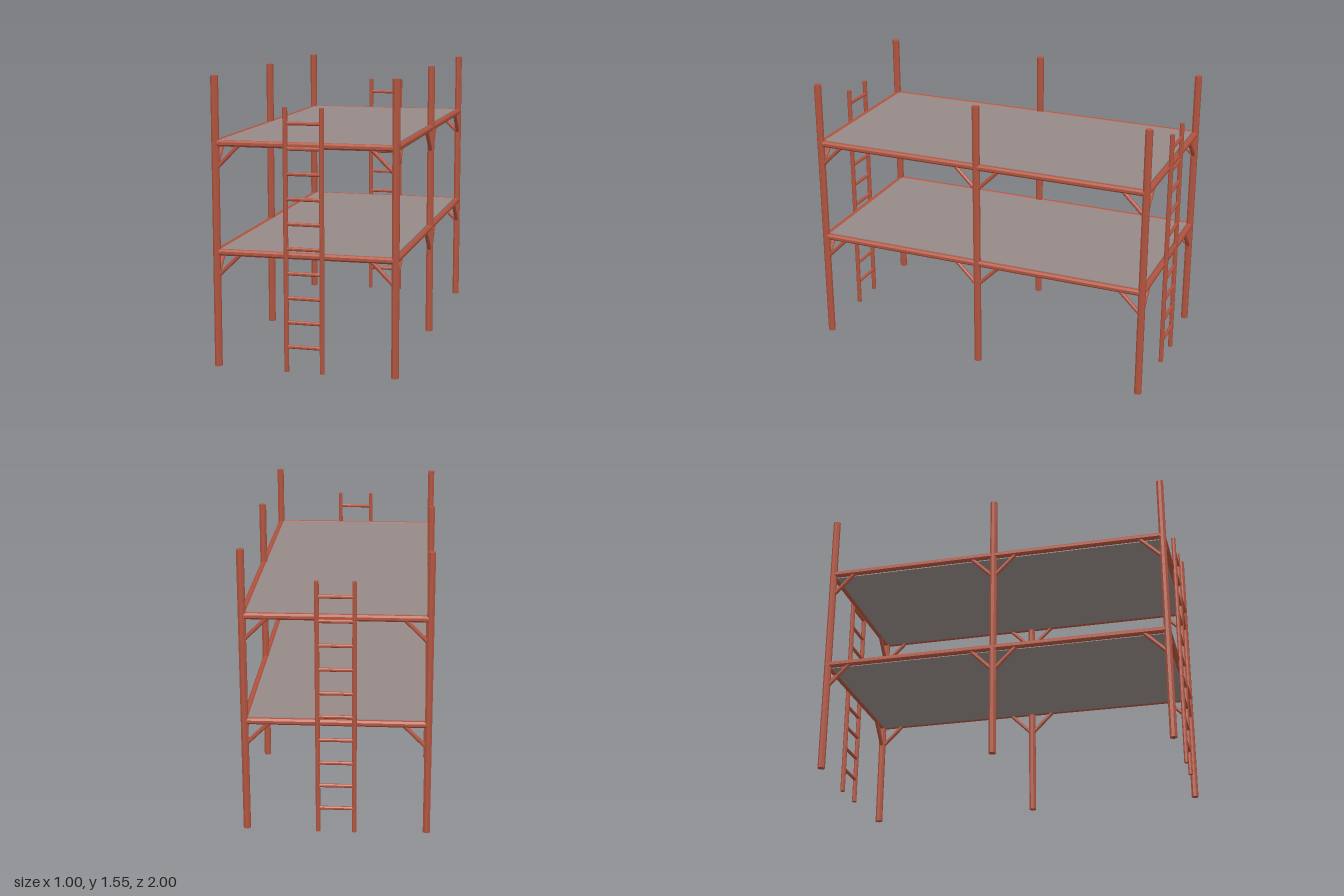
import * as THREE from 'three';

const steel = new THREE.MeshStandardMaterial({ color: 0xb1543f });
steel.name = 'rust red steel';
steel.flatShading = true;
const deckGrey = new THREE.MeshStandardMaterial({ color: 0x968a89 });
deckGrey.name = 'deck grey';

const PX = 0.483, PZ = 0.968; // post centre lines
const BEAM = 0.0165; // beam radius
const LEVELS = [0.622, 1.203];
const UP = new THREE.Vector3(0, 1, 0);

// Eight-sided bar between two points, with flats facing the axes
function bar(name, a, b, radius) {
  const from = new THREE.Vector3(...a), to = new THREE.Vector3(...b);
  const dir = to.clone().sub(from);
  const r = radius / Math.cos(Math.PI / 8);
  const geometry = new THREE.CylinderGeometry(r, r, dir.length(), 8, 1, false, Math.PI / 8);
  const mesh = new THREE.Mesh(geometry, steel);
  mesh.name = name;
  mesh.position.copy(from).add(to).multiplyScalar(0.5);
  mesh.quaternion.setFromUnitVectors(UP, dir.normalize());
  return mesh;
}

// Ladder with two rails and ten rungs
function ladder(name, z) {
  const group = new THREE.Group();
  group.name = name;
  for (const s of [-1, 1]) group.add(bar('ladderRail', [s * 0.097, 0, z], [s * 0.097, 1.4, z], 0.012));
  for (let i = 0; i < 10; i++) {
    const y = 0.137 + i * 0.1313;
    group.add(bar('ladderRung', [-0.097, y, z], [0.097, y, z], 0.0095));
  }
  return group;
}

// Thick deck set between its edge beams, with diagonal braces below
function platform(name, y) {
  const group = new THREE.Group();
  group.name = name;
  const deck = new THREE.Mesh(
    new THREE.BoxGeometry((PX - BEAM) * 2, BEAM * 1.9, (PZ - BEAM) * 2), deckGrey);
  deck.name = 'deck';
  deck.position.y = y;
  group.add(deck);

  const low = y - 0.136, high = y - 0.006, reach = 0.13;
  for (const s of [-1, 1]) {
    group.add(bar('sideBeam', [s * PX, y, -PZ], [s * PX, y, PZ], BEAM));
    group.add(bar('endBeam', [-PX, y, s * PZ], [PX, y, s * PZ], BEAM));
    for (const t of [-1, 1]) {
      const x = s * PX, z = t * PZ;
      group.add(bar('endBrace', [x, low, z], [x - s * reach, high, z], 0.0105));
      group.add(bar('sideBrace', [x, low, z], [x, high, z - t * reach], 0.0105));
      group.add(bar('middleBrace', [x, low, 0], [x, high, t * reach], 0.0105));
    }
  }
  return group;
}

export function createModel() {
  const model = new THREE.Group();
  model.name = 'scaffold';

  // Six upright posts
  for (const x of [-PX, PX])
    for (const z of [-PZ, 0, PZ]) model.add(bar('post', [x, 0, z], [x, 1.555, z], 0.019));

  model.add(platform('lowerPlatform', LEVELS[0]), platform('upperPlatform', LEVELS[1]));
  model.add(ladder('frontLadder', 0.988), ladder('backLadder', -0.988));
  return model;
}
